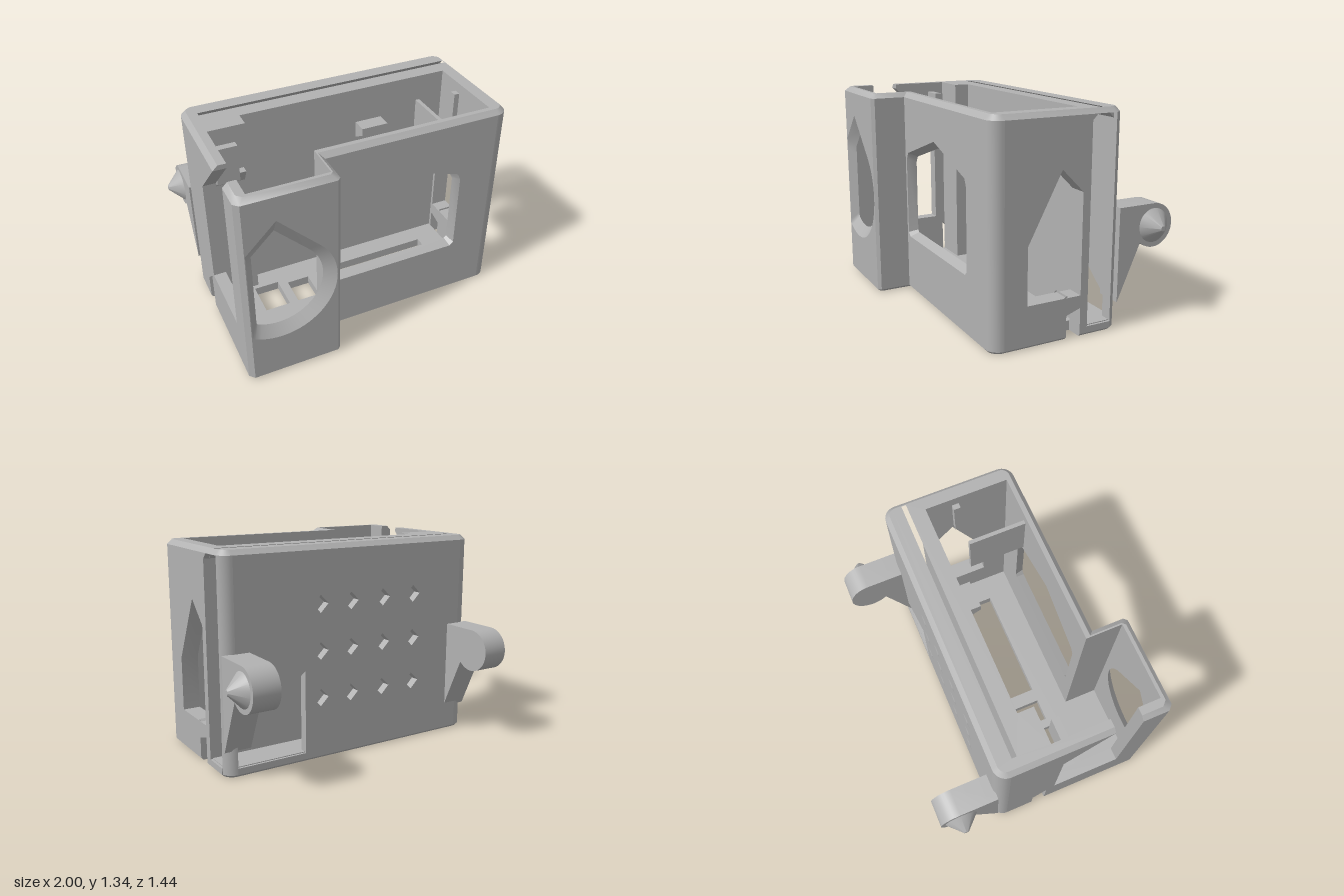
import * as THREE from 'three';
import { toCreasedNormals } from 'three/addons/utils/BufferGeometryUtils.js';

const plastic = new THREE.MeshStandardMaterial({ color: 0xb2b2b2, side: THREE.DoubleSide });
plastic.name = 'grey plastic';

const WALL_BOTTOM = 0.015, WALL_TOP = 1.305, TOP = 1.335;

function makeShape(points, holes = []) {
  const v = (list) => list.map(([a, b]) => new THREE.Vector2(a, b));
  const shape = new THREE.Shape(v(points));
  for (const hole of holes) shape.holes.push(new THREE.Path(v(hole)));
  return shape;
}

function extrude(points, depth, holes) {
  return new THREE.ExtrudeGeometry(makeShape(points, holes), { depth, bevelEnabled: false });
}

// Extrusions of plan (x, z), side (z, y) and front (x, y) outlines
const flip = (list) => list.map(([x, z]) => [x, -z]);
const fromPlan = (pts, y0, y1, holes = []) =>
  extrude(flip(pts), y1 - y0, holes.map(flip)).rotateX(-Math.PI / 2).translate(0, y0, 0);
const mirrorZ = (list) => list.map(([z, y]) => [-z, y]);
const fromSide = (pts, x0, x1, holes = []) =>
  extrude(mirrorZ(pts), x1 - x0, holes.map(mirrorZ)).rotateY(Math.PI / 2).translate(x0, 0, 0);
const fromFront = (pts, z0, z1, holes = []) => extrude(pts, z1 - z0, holes).translate(0, 0, z0);
const rect = (a0, b0, a1, b1) => [[a0, b0], [a1, b0], [a1, b1], [a0, b1]];
const block = (x0, x1, y0, y1, z0, z1) => fromPlan(rect(x0, z0, x1, z1), y0, y1);

// Strip of quads between two matching lists of 3D points
function band(a, b, closed = false) {
  const pos = [];
  const count = closed ? a.length : a.length - 1;
  for (let i = 0; i < count; i++) {
    const j = (i + 1) % a.length;
    pos.push(...a[i], ...a[j], ...b[j], ...a[i], ...b[j], ...b[i]);
  }
  const g = new THREE.BufferGeometry();
  g.setAttribute('position', new THREE.Float32BufferAttribute(pos, 3));
  g.computeVertexNormals();
  return g;
}

function arc(cx, cz, r, from, to, steps = 8) {
  const pts = [];
  for (let i = 0; i <= steps; i++) {
    const t = THREE.MathUtils.degToRad(from + ((to - from) * i) / steps);
    pts.push([cx + r * Math.cos(t), cz + r * Math.sin(t)]);
  }
  return pts;
}

// Plan outline of the case, inset by d; it stays open at the gap in the side wall
function outline(d, notched) {
  const x = 0.91 - d;
  return [
    [-x, 0.36],
    ...(notched ? [[-x, 0.015], [-0.83, 0.015], [-0.83, -0.08], [-x, -0.08]] : []),
    ...arc(-0.83, -0.27, 0.08 - d, 180, 270),
    ...arc(0.83, -0.27, 0.08 - d, 270, 360),
    ...(notched ? [[x, -0.08], [0.8, -0.08], [0.8, 0.015], [x, 0.015]] : []),
    ...arc(0.83, 0.42, 0.08 - d, 0, 90),
    [-0.31 - d, 0.5 - d], [-0.31 - d, 0.7 - d], [-0.33 - d, 0.72 - d],
    [-0.88 + d, 0.72 - d], [-x, 0.69 - d], [-x, 0.53],
  ];
}
const atY = (pts, y) => pts.map(([x, z]) => [x, y, z]);
const atZ = (pts, z) => pts.map(([x, y]) => [x, y, z]);

// Teardrop with a 45 degree peak, cut off straight at x = limit
function teardrop(r, limit) {
  const cx = -0.69, cy = 0.65, peak = cy + r * Math.SQRT2;
  const round = arc(cx, cy, r, 45, -225, 48).map(([x, y]) => [Math.max(x, limit), y]);
  return [[cx, peak], ...round, [limit, peak - (cx - limit)]];
}

export function createModel() {
  const model = new THREE.Group();
  const add = (name, geometry, parent = model) => {
    const mesh = new THREE.Mesh(toCreasedNormals(geometry, 0.6), plastic);
    mesh.name = name;
    parent.add(mesh);
    return mesh;
  };

  // Wall panel with a window that narrows towards the inside
  const windowPanel = (name, edge, outer, inner, zFront, zBack) => {
    const group = new THREE.Group();
    group.name = name;
    add(name + 'Face', new THREE.ShapeGeometry(makeShape(edge, [outer])).translate(0, 0, zFront), group);
    add(name + 'Back', new THREE.ShapeGeometry(makeShape(edge, [inner])).translate(0, 0, zBack), group);
    add(name + 'Bevel', band(atZ(outer, zFront), atZ(inner, zBack), true), group);
    model.add(group);
  };

  // Front walls
  windowPanel('frontWall', rect(-0.33, WALL_BOTTOM, 0.83, WALL_TOP),
    [[-0.29, 0.4], [-0.265, 0.375], [0.58, 0.375], [0.605, 0.4], [0.605, 0.9], [0.585, 0.945],
      [0.16, 1.085], [-0.265, 0.945], [-0.29, 0.9]],
    [[-0.27, 0.415], [-0.255, 0.4], [0.57, 0.4], [0.585, 0.415], [0.585, 0.88], [0.565, 0.92],
      [0.16, 1.05], [-0.245, 0.92], [-0.27, 0.88]], 0.5, 0.44);
  windowPanel('bayFront', rect(-0.88, WALL_BOTTOM, -0.33, WALL_TOP),
    teardrop(0.355, -0.875), teardrop(0.285, -0.83), 0.72, 0.67);
  add('bayInnerWall', block(-0.35, -0.31, WALL_BOTTOM, WALL_TOP, 0.44, 0.67));

  // Corner columns
  const corners = [
    [[-0.91, 0.67], [-0.91, 0.69], [-0.88, 0.72], [-0.88, 0.67]],
    [[-0.35, 0.67], [-0.33, 0.72], [-0.31, 0.7], [-0.31, 0.67]],
    [...arc(0.83, 0.42, 0.08, 0, 90), [0.83, 0.44], [0.8, 0.44], [0.8, 0.42]],
    [...arc(0.83, -0.27, 0.08, 270, 342), [0.83, -0.295]],
    [...arc(-0.83, -0.27, 0.08, 180, 270), [-0.83, -0.27]],
  ];
  for (const c of corners) add('cornerColumn', fromPlan(c, WALL_BOTTOM, WALL_TOP));

  // Side walls: pointed window and card slot on one side, tall opening on the other
  add('leftWall', fromSide(
    [[0.42, 0.015], [0.42, WALL_TOP], [-0.165, WALL_TOP], [-0.13, 1.27], [-0.13, 0.055], [-0.295, 0.055],
      [-0.295, 0.015], [-0.08, 0.015], [-0.08, 0.18], [0.015, 0.27], [0.015, 0.015]], 0.8, 0.91,
    [[[0.275, 0.255], [0.275, 0.6], [0.06, 1.01], [-0.08, 0.87], [-0.08, 0.255]].map(([z, y]) => [z, y + 0.002])]));
  add('rightWall', fromSide(
    [[0.67, 0.015], [0.67, WALL_TOP], [0.53, WALL_TOP], [0.53, 0.32], [0.07, 0.32], [0.07, 1.02],
      [0.36, WALL_TOP], [-0.27, WALL_TOP], [-0.27, 0.015], [-0.08, 0.015], [-0.08, 0.18],
      [0.015, 0.27], [0.015, 0.015]], -0.91, -0.83));

  // Back skin with diamond holes and a corner cut-out
  const backHoles = [];
  for (const x of [0.26, 0.04, -0.2, -0.44])
    for (const y of [0.98, 0.69, 0.395])
      backHoles.push([[x - 0.055, y], [x, y - 0.055], [x + 0.055, y], [x, y + 0.055]]);
  add('backWall', fromFront(
    [[-0.83, 0.015], [0.83, 0.015], [0.83, 0.055], [0.37, 0.055], [0.37, 0.58], [0.83, 0.2],
      [0.83, WALL_TOP], [-0.83, WALL_TOP]], -0.35, -0.295, backHoles));

  // Card pocket: partition and sloped roof
  add('partition', block(-0.83, 0.8, 0.015, WALL_TOP, -0.13, -0.1));
  add('partitionStep', block(-0.83, -0.6, 0.015, WALL_TOP, -0.1, 0));
  add('pocketRoofBack', fromSide([[-0.295, 1.27], [-0.23, 1.334], [-0.295, 1.334]], -0.83, 0.875));
  add('pocketRoofFront', fromSide([[-0.13, 1.27], [-0.2, 1.334], [-0.13, 1.334]], -0.83, 0.875));

  // Bevelled top rim with the pocket slot
  const inner = [[-0.83, 0.53], [-0.83, 0.67], [-0.35, 0.67], [-0.35, 0.44], [0.8, 0.44],
    [0.8, -0.1], [-0.6, -0.1], [-0.6, 0], [-0.83, 0], [-0.83, 0.36]];
  add('rimBevel', band(atY(outline(0), WALL_TOP), atY(outline(0.03), TOP)));
  add('rimInside', band(atY(inner, WALL_TOP), atY(inner, TOP)));
  add('rimTop', new THREE.ShapeGeometry(makeShape(flip([...outline(0.03), ...inner]),
    [flip(rect(-0.82, -0.23, 0.875, -0.2))])).rotateX(-Math.PI / 2).translate(0, TOP, 0));
  for (const z of [0.36, 0.53])
    add('rimEnd', fromFront([[-0.91, WALL_TOP], [-0.83, WALL_TOP], [-0.83, TOP], [-0.88, TOP]], z - 0.001, z + 0.001));

  // Floor with connector openings and bevelled underside
  add('floor', fromPlan(outline(0.015, true), 0, 0.06, [
    rect(-0.635, 0.03, -0.47, 0.255), rect(-0.41, 0.065, -0.26, 0.255), rect(-0.17, 0.03, 0.63, 0.255)]));
  add('floorBevel', band(atY(outline(0.015, true), 0), atY(outline(0, true), WALL_BOTTOM)));

  // Inside ribs and catches
  add('dividerRib', block(0.505, 0.53, 0.97, 1.27, 0.07, 0.44));
  add('sideRib', block(-0.83, -0.69, 1.03, 1.27, 0.07, 0.115));
  add('sideRib', block(0.765, 0.8, 1.03, 1.27, 0.07, 0.115));
  add('backCatch', fromSide([[-0.1, 0.99], [0, 1.05], [0, 1.1], [-0.1, 1.1]], 0.17, 0.35));
  add('bayCatch', fromSide([[0, 0.945], [0.05, 1.035], [0, 1.035]], -0.81, -0.63));

  // Rear hinge arms with cone pins
  const armProfile = [[-0.34, 0.165], [-0.34, 0.745], ...arc(-0.59, 0.61, 0.135, 90, 315, 24)];
  for (const side of [1, -1]) {
    const arm = new THREE.Group();
    arm.name = side > 0 ? 'leftHingeArm' : 'rightHingeArm';
    add('armBody', side > 0 ? fromSide(armProfile, 0.74, 0.91) : fromSide(armProfile, -0.91, -0.74), arm);
    add('pivotCone', new THREE.CylinderGeometry(0.015, 0.105, 0.09, 32)
      .rotateZ(-side * Math.PI / 2).translate(side * 0.955, 0.61, -0.59), arm);
    model.add(arm);
  }
  return model;
}
